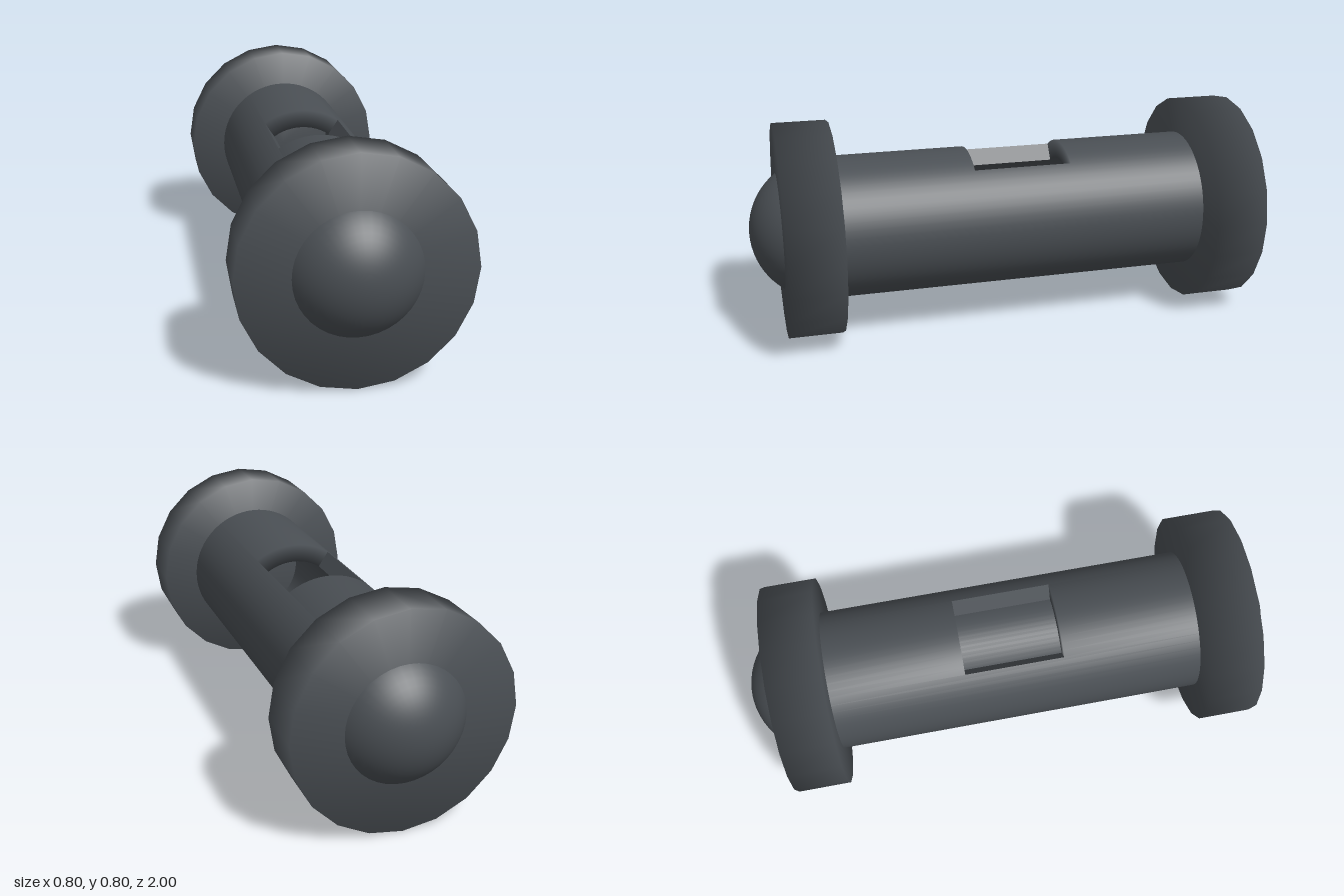
import * as THREE from 'three';

const OUTER = 0.265, INNER = 0.197;   // barrel radii
const SLOT_BACK = -0.19, SLOT_FRONT = 0.18;
const HALF = 0.593;                   // half angle of the slot opening
const END = 0.8;                      // barrel ends, hidden in the discs

const steel = new THREE.MeshStandardMaterial({ color: 0x4a4f54 });
steel.name = 'dark steel';

function add(parent, name, geometry) {
  const mesh = new THREE.Mesh(geometry, steel);
  mesh.name = name;
  parent.add(mesh);
  return mesh;
}

// Turned part along z; profile points are [radius, z], angle PI is the top
function turned(profile, segments, start = 0, length = Math.PI * 2) {
  const points = profile.map(([r, z]) => new THREE.Vector2(r, z));
  return new THREE.LatheGeometry(points, segments, start, length).rotateX(Math.PI / 2);
}

export function createModel() {
  const model = new THREE.Group();
  model.name = 'slottedSpool';
  const body = new THREE.Group();
  body.name = 'body';
  body.position.y = 0.4;
  model.add(body);

  // Hollow barrel, open along the top sector
  const barrel = new THREE.Group();
  barrel.name = 'barrel';
  body.add(barrel);
  const start = Math.PI + HALF, sweep = Math.PI * 2 - HALF * 2;
  add(barrel, 'barrelOuter', turned([[OUTER, -END], [OUTER, END]], 48, start, sweep));
  add(barrel, 'barrelInner', turned([[INNER, END], [INNER, -END]], 48, start, sweep));

  // Top covers behind and in front of the slot
  add(barrel, 'rearCover', turned(
    [[OUTER, -END], [OUTER, SLOT_BACK], [INNER, SLOT_BACK], [INNER, -END]],
    12, Math.PI - HALF, HALF * 2));
  add(barrel, 'frontCover', turned(
    [[INNER, END], [INNER, SLOT_FRONT], [OUTER, SLOT_FRONT], [OUTER, END]],
    12, Math.PI - HALF, HALF * 2));

  // Radial side walls of the slot
  for (const side of [1, -1]) {
    const wall = new THREE.PlaneGeometry(OUTER - INNER, SLOT_FRONT - SLOT_BACK)
      .rotateX(-side * Math.PI / 2)
      .translate((OUTER + INNER) / 2, 0, (SLOT_FRONT + SLOT_BACK) / 2)
      .rotateZ(Math.PI / 2 - side * HALF);
    add(barrel, side > 0 ? 'slotWallLeft' : 'slotWallRight', wall);
  }

  // Twenty-sided end discs with domed caps
  for (const name of ['frontEnd', 'backEnd']) {
    const end = new THREE.Group();
    end.name = name;
    if (name === 'backEnd') end.rotation.y = Math.PI;
    add(end, 'disc', turned([[0, 0.69], [0.4, 0.69], [0.4, 0.89], [0, 0.89]], 20));
    const dome = new THREE.SphereGeometry(OUTER, 40, 12, 0, Math.PI * 2, 0, Math.PI * 0.36);
    add(end, 'dome', dome.rotateX(Math.PI / 2).translate(0, 0, 1 - OUTER));
    body.add(end);
  }
  return model;
}
